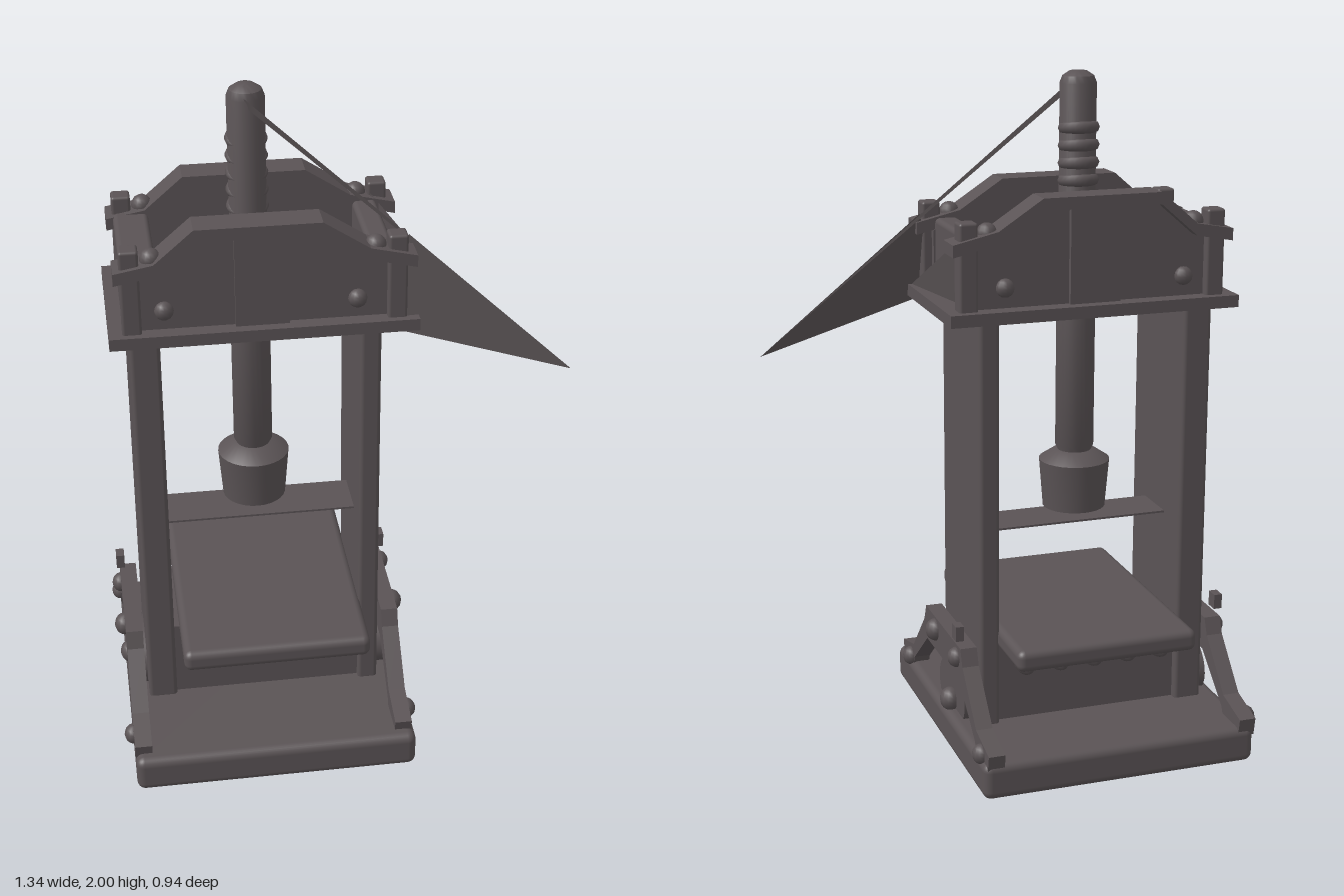
import * as THREE from 'three';
import { RoundedBoxGeometry } from 'three/addons/geometries/RoundedBoxGeometry.js';
import { toCreasedNormals } from 'three/addons/utils/BufferGeometryUtils.js';

const CX = -0.23, CZ = -0.03; // screw axis

export function createModel() {
  const model = new THREE.Group();
  const iron = new THREE.MeshStandardMaterial({ color: 0x5a5355, side: THREE.DoubleSide });
  iron.name = 'dark iron';

  const add = (name, geo, x = 0, y = 0, z = 0) => {
    const m = new THREE.Mesh(geo, iron);
    m.name = name;
    m.position.set(x, y, z);
    model.add(m);
    return m;
  };
  // box given by its limits, optionally rounded
  const box = (name, x0, x1, y0, y1, z0, z1, r = 0) => {
    const s = [x1 - x0, y1 - y0, z1 - z0];
    const g = r ? new RoundedBoxGeometry(...s, 3, r) : new THREE.BoxGeometry(...s);
    return add(name, g, (x0 + x1) / 2, (y0 + y1) / 2, (z0 + z1) / 2);
  };
  const shape = pts => new THREE.Shape(pts.map(p => new THREE.Vector2(...p)));
  const extrude = (pts, depth) => new THREE.ExtrudeGeometry(shape(pts), { depth, bevelEnabled: false });
  const lathe = (pts, n = 28) =>
    toCreasedNormals(new THREE.LatheGeometry(pts.map(p => new THREE.Vector2(...p)), n), 0.6);
  // domed bolt head pointing along x or z
  const bolt = (x, y, z, axis, sign, r = 0.027) => {
    const b = add('bolt', new THREE.SphereGeometry(r, 12, 8), x, y, z);
    b.scale[axis] = 0.9 * Math.abs(sign);
    return b;
  };
  const facet = (name, pts) => {
    const g = new THREE.BufferGeometry();
    g.setAttribute('position', new THREE.Float32BufferAttribute(pts.flat(), 3));
    g.computeVertexNormals();
    return add(name, g);
  };

  // base slab and the pedestal between the columns
  box('base', -0.645, 0.19, 0, 0.11, -0.467, 0.465, 0.025);
  box('pedestal', -0.5, 0.06, 0.1, 0.35, -0.18, 0.14);

  // press bed with brackets beneath
  box('bed', -0.485, 0.065, 0.345, 0.41, -0.395, 0.365, 0.022);
  for (const z of [0.2, -0.24]) {
    for (let i = 0; i < 5; i++) {
      const b = add('bedBracket', new THREE.SphereGeometry(0.05, 12, 8), -0.42 + i * 0.105, 0.335, z);
      b.scale.set(0.65, 1.1, 1.6);
    }
  }

  // columns
  box('rightColumn', -0.585, -0.5, 0.1, 1.35, -0.205, 0.16, 0.012);
  box('leftColumn', 0.06, 0.12, 0.1, 1.35, -0.205, 0.16, 0.012);

  // thin sheet under the ram
  box('sheet', -0.5, 0.12, 0.672, 0.678, -0.09, 0.06);

  // screw: ram, neck and shaft
  add('screwShaft', lathe([[0, 0.84], [0.045, 0.84], [0.045, 0.875], [0.057, 0.9], [0.057, 1.4],
    [0.053, 1.42], [0.053, 1.965], [0.045, 1.985], [0.025, 1.998], [0, 2]]), CX, 0, CZ);
  add('ram', lathe([[0, 0.71], [0.093, 0.71], [0.105, 0.855], [0.06, 0.885], [0, 0.885]]), CX, 0, CZ);
  // thread ridges, standing out on the back
  for (let i = 0; i < 6; i++) {
    const t = add('threadRidge', new THREE.TorusGeometry(0.042, 0.018, 8, 24), CX, 1.59 + i * 0.05, CZ - 0.009);
    t.rotation.x = Math.PI / 2 + 0.1;
  }

  // head: floor plate with a hole for the screw
  const floor = shape([[-0.64, -0.265], [0.22, -0.265], [0.22, 0.2], [-0.64, 0.2]]);
  const hole = new THREE.Path();
  hole.absarc(CX, CZ, 0.056, 0, Math.PI * 2, true);
  floor.holes.push(hole);
  const fm = add('headFloor', new THREE.ExtrudeGeometry(floor, { depth: 0.035, bevelEnabled: false }), 0, 1.372, 0);
  fm.rotation.x = Math.PI / 2;
  box('headSideWall', -0.6, -0.5, 1.37, 1.575, -0.19, 0.12, 0.015);
  box('headSideWall', 0.085, 0.155, 1.37, 1.575, -0.19, 0.12, 0.015);

  // head: front and back beams, each a recessed web with a rim on top
  const top = [[-0.62, 1.565], [-0.51, 1.585], [-0.4, 1.68], [-0.05, 1.68], [0.08, 1.595], [0.21, 1.565]];
  const under = top.map(([x, y]) => [x, y - 0.035]);
  const web = [[-0.59, 1.36], ...under.map(([x, y]) => [THREE.MathUtils.clamp(x, -0.59, 0.16), y + 0.01]), [0.16, 1.36]];
  for (const s of [1, -1]) {
    const at = d => CZ + s * d; // distance outwards from the screw axis
    const span = (a, b) => [Math.min(at(a), at(b)), Math.max(at(a), at(b))];
    add('beamWeb', extrude(web, 0.05), 0, 0, span(0.135, 0.185)[0]);
    add('beamRim', extrude([...top, ...under.reverse()], 0.09), 0, 0, span(0.135, 0.225)[0]);
    under.reverse();
    box('beamRib', -0.29, -0.14, 1.37, 1.66, ...span(0.14, 0.2));
    // corner posts with lugs
    for (const x of [-0.575, 0.16]) {
      box('cornerPost', x - 0.027, x + 0.027, 1.36, 1.62, ...span(0.155, 0.21), 0.008);
      add('postLug', new THREE.SphereGeometry(0.03, 12, 8), x + (x < 0 ? 0.06 : -0.06), 1.585, at(0.18));
    }
    for (const x of [-0.485, 0.05]) bolt(x, 1.43, at(0.19), 'z', 1);
  }

  // side braces: saddle plate, sloping legs, feet, disc and bolts on both sides
  const brace = [];
  const half = [[0.18, 0.36], [0.2, 0.31], [0.33, 0.17], [0.45, 0.14], [0.44, 0.085],
    [0.34, 0.085], [0.32, 0.13], [0.17, 0.255]];
  const zc = -0.02;
  brace.push(...half.map(([d, y]) => [zc + d, y]));
  brace.push(...half.slice().reverse().map(([d, y]) => [zc - d, y]));
  for (const [x, s] of [[0.12, 1], [-0.585, -1]]) {
    const out = d => x + s * d;
    const plate = extrude(brace, 0.05);
    plate.rotateY(-Math.PI / 2); // profile now runs along z, thickness along -x
    add('sideBrace', plate, Math.max(out(0.01), out(0.06)), 0, 0);
    const disc = add('sideDisc', new THREE.CylinderGeometry(0.13, 0.13, 0.035, 28), out(0.018), 0.155, CZ);
    disc.rotation.z = Math.PI / 2;
    disc.scale.set(0.75, 1, 1);
    bolt(out(0.045), 0.135, -0.045, 'x', 1, 0.036);
    bolt(out(0.06), 0.32, 0.06, 'x', 1, 0.034);
    bolt(out(0.06), 0.32, -0.16, 'x', 1, 0.03);
    for (const d of [0.34, -0.4]) bolt(out(0.06), 0.12, d, 'x', 1, 0.03);
    box('braceTab', Math.min(out(0.045), out(0.07)), Math.max(out(0.045), out(0.07)), 0.38, 0.425, -0.19, -0.15);
  }
  bolt(-0.42, 0.29, 0.15, 'z', 1, 0.036);

  // thin stray blades hanging off the screw and head
  facet('blade', [[0.13, 1.345, 0.185], [0.66, 1.18, 0.2], [0.2, 1.59, 0.11]]);
  facet('bladeStrip', [[-0.24, 1.975, 0.022], [-0.23, 1.945, 0.022], [0.66, 1.18, 0.2]]);
  facet('smallBlade', [[0.14, 1.37, -0.18], [0.28, 1.43, -0.085], [0.14, 1.59, -0.18]]);

  return model;
}
